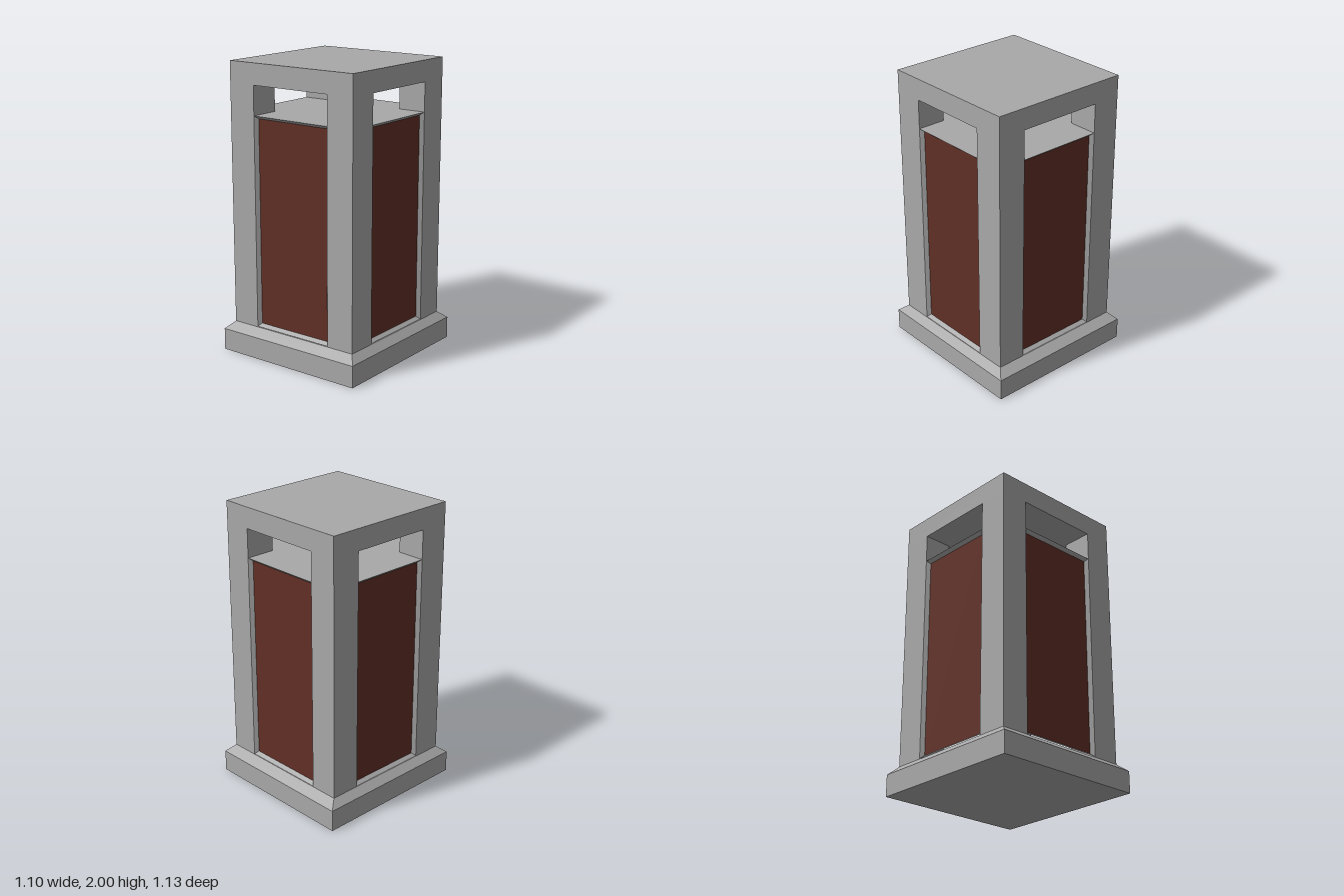
import * as THREE from 'three';

const stone = new THREE.MeshStandardMaterial({ color: 0xa8a8a8 });
stone.name = 'grey stone';
const panelMat = new THREE.MeshStandardMaterial({ color: 0x602f25 });
panelMat.name = 'red brown panel';

const HALF = 0.5;             // half width of the tower
const OPEN_X = 0.3;           // half openings between the columns
const OPEN_Z = 0.29;
const BASE_Y = 0.2, LEDGE_Y = 1.655, ROOF_Y = 1.855, TOP_Y = 2;
const INSET = 0.02, DEPTH = 0.025; // bevel around each panel

function add(parent, name, geometry, material, x = 0, y = 0, z = 0) {
  const mesh = new THREE.Mesh(geometry, material);
  mesh.name = name;
  mesh.position.set(x, y, z);
  parent.add(mesh);
  return mesh;
}

// Box whose top is scaled in x and z
function taperedBox(w, h, d, topW, topD) {
  const geo = new THREE.BoxGeometry(w, h, d).toNonIndexed();
  const p = geo.attributes.position;
  for (let i = 0; i < p.count; i++) {
    if (p.getY(i) > 0) p.setXYZ(i, p.getX(i) * topW / w, h / 2, p.getZ(i) * topD / d);
  }
  geo.computeVertexNormals();
  return geo;
}

// Sloping rim from the opening edge in to the recessed panel, facing +z
function bevelRim(hw, y0, y1) {
  const rect = (i, z) => [
    [-hw + i, y0 + i, z], [hw - i, y0 + i, z], [hw - i, y1 - i, z], [-hw + i, y1 - i, z],
  ];
  const outer = rect(0, HALF), inner = rect(INSET, HALF - DEPTH);
  const pos = [];
  for (let i = 0; i < 4; i++) {
    const j = (i + 1) % 4;
    pos.push(...outer[i], ...outer[j], ...inner[j], ...outer[i], ...inner[j], ...inner[i]);
  }
  const geo = new THREE.BufferGeometry();
  geo.setAttribute('position', new THREE.Float32BufferAttribute(pos, 3));
  geo.computeVertexNormals();
  return geo;
}

export function createModel() {
  const model = new THREE.Group();
  model.name = 'pillarTower';

  // Plinth with a sloping upper edge
  add(model, 'basePlinth', new THREE.BoxGeometry(1.1, 0.15, 1.126), stone, 0, 0.075, 0);
  add(model, 'baseSlope', taperedBox(1.1, 0.05, 1.126, 1, 1), stone, 0, 0.175, 0);

  // Corner columns
  const cw = HALF - OPEN_X, cd = HALF - OPEN_Z, ch = ROOF_Y - BASE_Y;
  for (const sx of [-1, 1]) {
    for (const sz of [-1, 1]) {
      add(model, 'cornerColumn', new THREE.BoxGeometry(cw, ch, cd), stone,
        sx * (HALF - cw / 2), BASE_Y + ch / 2, sz * (HALF - cd / 2));
    }
  }

  // Roof slab
  add(model, 'roofSlab', new THREE.BoxGeometry(1, TOP_Y - ROOF_Y, 1), stone, 0, (TOP_Y + ROOF_Y) / 2, 0);

  // Recessed panels on all four sides
  for (let k = 0; k < 4; k++) {
    const hw = k % 2 ? OPEN_Z : OPEN_X;
    const side = new THREE.Group();
    side.name = ['frontPanel', 'leftPanel', 'backPanel', 'rightPanel'][k];
    side.rotation.y = k * Math.PI / 2;
    add(side, 'panelRim', bevelRim(hw, BASE_Y + 0.005, LEDGE_Y), stone);
    const h = LEDGE_Y - BASE_Y - 0.005 - 2 * INSET;
    add(side, 'panelFace', new THREE.PlaneGeometry(2 * (hw - INSET), h), panelMat,
      0, BASE_Y + 0.005 + INSET + h / 2, HALF - DEPTH);
    model.add(side);
  }

  // Cross-shaped ledge closing the core between the columns
  const a = OPEN_X, b = OPEN_Z, s = HALF;
  const cross = new THREE.Shape([
    [-a, -s], [a, -s], [a, -b], [s, -b], [s, b], [a, b],
    [a, s], [-a, s], [-a, b], [-s, b], [-s, -b], [-a, -b],
  ].map(([x, y]) => new THREE.Vector2(x, y)));
  add(model, 'coreLedge', new THREE.ShapeGeometry(cross).rotateX(-Math.PI / 2), stone, 0, LEDGE_Y, 0);

  return model;
}
